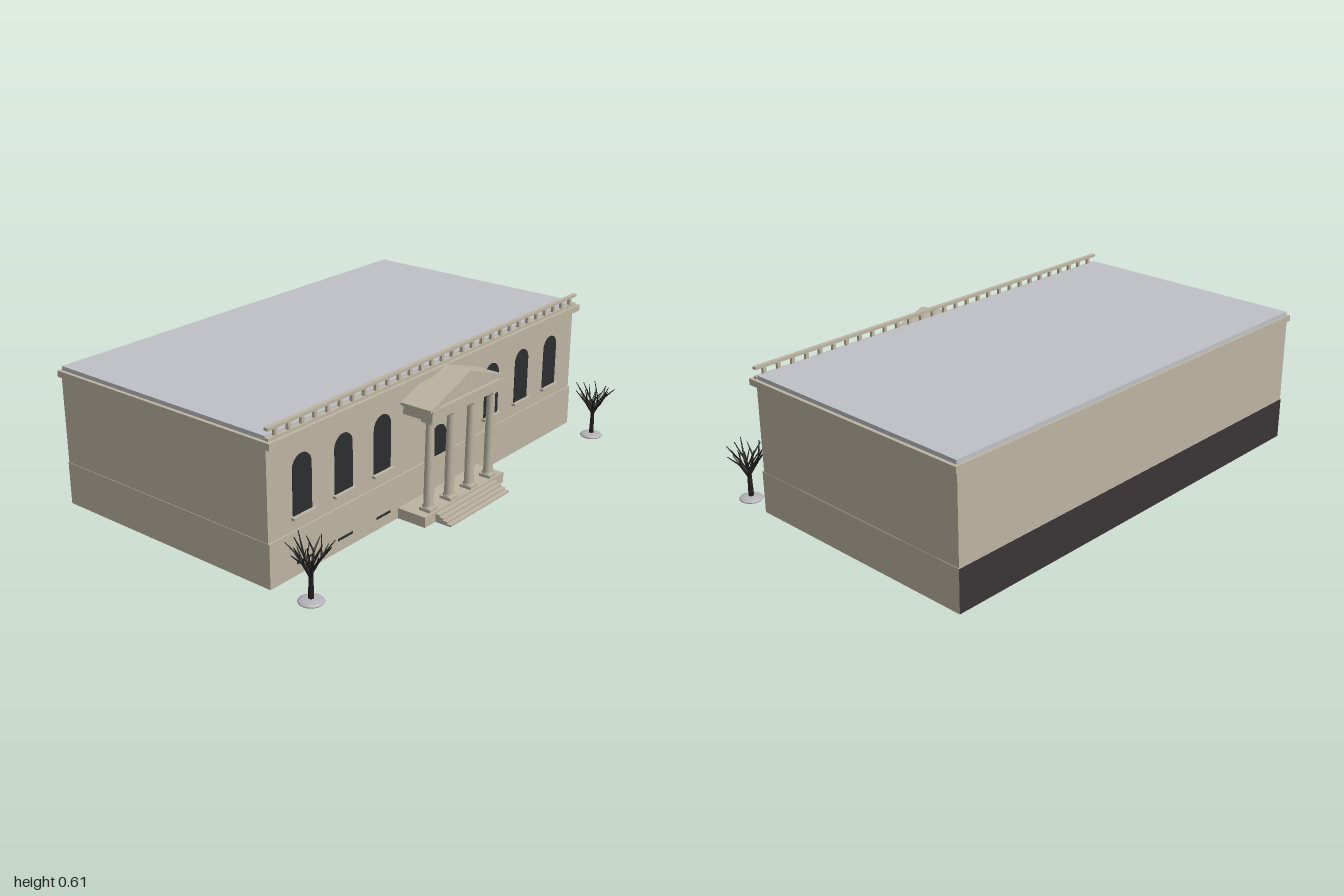
import * as THREE from 'three';

const mat = (name, color, extra = {}) => {
  const m = new THREE.MeshStandardMaterial({ color, ...extra });
  m.name = name;
  return m;
};

export function createModel() {
  const stone = mat('stone', 0xbdb5a2);
  const roofGrey = mat('roofGrey', 0xc0c1c6);
  const glass = mat('darkGlass', 0x2c2d2f);
  const dark = mat('darkBase', 0x3a3536);
  const bark = mat('bark', 0x211f1e);
  const soil = mat('paleSoil', 0xb4b4b8);

  const model = new THREE.Group();
  model.name = 'hall';
  const building = new THREE.Group();
  building.name = 'building';
  building.position.x = -0.005;
  model.add(building);

  const add = (name, geo, material, parent = building) => {
    const m = new THREE.Mesh(geo, material);
    m.name = name;
    parent.add(m);
    return m;
  };
  // Box given by its limits on each axis
  const box = (name, x0, x1, y0, y1, z0, z1, material = stone, parent = building) => {
    const m = add(name, new THREE.BoxGeometry(x1 - x0, y1 - y0, z1 - z0), material, parent);
    m.position.set((x0 + x1) / 2, (y0 + y1) / 2, (z0 + z1) / 2);
    return m;
  };
  // Stone box faces with a dark underside, and optionally a dark back
  const darkUnder = [stone, stone, stone, dark, stone, stone];
  const darkUnderAndBack = [stone, stone, stone, dark, stone, dark];

  // Main block
  box('plinth', -0.952, 0.952, 0.017, 0.188, -0.636, 0.404, darkUnderAndBack);
  box('walls', -0.95, 0.95, 0.188, 0.535, -0.634, 0.397);
  box('cornice', -0.962, 0.962, 0.535, 0.56, -0.641, 0.424);
  box('roof', -0.948, 0.948, 0.56, 0.576, -0.63, 0.392, roofGrey);

  // Balustrade along the front edge
  const balustrade = new THREE.Group();
  balustrade.name = 'balustrade';
  building.add(balustrade);
  box('bottomRail', -0.95, 0.95, 0.56, 0.57, 0.394, 0.41, stone, balustrade);
  box('topRail', -0.952, 0.952, 0.597, 0.608, 0.393, 0.411, stone, balustrade);
  const posts = 29;
  for (let i = 0; i < posts; i++) {
    const x = -0.91 + (1.82 * i) / (posts - 1);
    box('baluster', x - 0.007, x + 0.007, 0.57, 0.597, 0.396, 0.408, stone, balustrade);
  }

  // Arched openings
  const archPlate = (name, x, y0, y1, w, z) => {
    const r = w / 2;
    const s = new THREE.Shape();
    s.moveTo(-r, y0);
    s.lineTo(r, y0);
    s.lineTo(r, y1 - r);
    s.absarc(0, y1 - r, r, 0, Math.PI, false);
    s.closePath();
    const geo = new THREE.ExtrudeGeometry(s, { depth: 0.004, bevelEnabled: false, curveSegments: 16 });
    add(name, geo, glass).position.set(x, 0, z);
  };
  for (const side of [-1, 1]) {
    for (const d of [0.347, 0.563, 0.779]) {
      const x = side * d;
      archPlate('window', x, 0.24, 0.462, 0.097, 0.395);
      box('windowSill', x - 0.058, x + 0.058, 0.232, 0.242, 0.39, 0.413);
      if (side < 0) box('basementVent', x - 0.04, x + 0.04, 0.06, 0.069, 0.401, 0.406, glass);
    }
  }
  archPlate('doorway', 0, 0.188, 0.312, 0.096, 0.395);

  // Portico platform and steps
  const portico = new THREE.Group();
  portico.name = 'portico';
  building.add(portico);
  box('platform', -0.258, 0.258, 0.017, 0.059, 0.4, 0.53, darkUnder, portico);
  for (let i = 0; i < 4; i++) {
    box('step', -0.193, 0.193, 0.017, 0.05 - i * 0.0085, 0.52, 0.548 + i * 0.0175, darkUnder, portico);
  }

  // Columns with square plinths and capitals
  const shaft = new THREE.LatheGeometry(
    [[0.024, 0.07], [0.024, 0.076], [0.019, 0.082], [0.0185, 0.2], [0.0155, 0.402], [0.021, 0.415]]
      .map(([r, y]) => new THREE.Vector2(r, y)), 20);
  for (const x of [-0.195, -0.065, 0.065, 0.195]) {
    const column = new THREE.Group();
    column.name = 'column';
    column.position.set(x, 0, 0.498);
    portico.add(column);
    add('shaft', shaft, stone, column);
    box('columnBase', -0.025, 0.025, 0.059, 0.071, -0.025, 0.025, stone, column);
    box('capital', -0.024, 0.024, 0.414, 0.427, -0.024, 0.024, stone, column);
  }

  // Entablature and gabled pediment
  box('entablature', -0.225, 0.225, 0.426, 0.464, 0.39, 0.53, stone, portico);
  box('pedimentCornice', -0.236, 0.236, 0.462, 0.473, 0.39, 0.54, stone, portico);
  const prism = (name, pts, z0, z1) => {
    const s = new THREE.Shape(pts.map(([x, y]) => new THREE.Vector2(x, y)));
    const geo = new THREE.ExtrudeGeometry(s, { depth: z1 - z0, bevelEnabled: false });
    add(name, geo, stone, portico).position.z = z0;
  };
  prism('tympanum', [[-0.22, 0.473], [0.22, 0.473], [0, 0.55]], 0.39, 0.525);
  prism('gableRoof', [[-0.243, 0.467], [-0.21, 0.467], [0, 0.542], [0.21, 0.467],
    [0.243, 0.467], [0.243, 0.477], [0, 0.563], [-0.243, 0.477]], 0.39, 0.536);

  // Bare trees in round beds
  const up = new THREE.Vector3(0, 1, 0);
  const limb = (parent, name, a, b, r0, r1) => {
    const dir = b.clone().sub(a);
    const m = add(name, new THREE.CylinderGeometry(r1, r0, dir.length(), 6), bark, parent);
    m.position.copy(a).add(b).multiplyScalar(0.5);
    m.quaternion.setFromUnitVectors(up, dir.normalize());
  };
  const polar = (angle, r, y) => new THREE.Vector3(Math.cos(angle) * r, y, Math.sin(angle) * r);
  const makeTree = (x, turn) => {
    const tree = new THREE.Group();
    tree.name = 'tree';
    tree.position.set(x, 0, 0.548);
    tree.rotation.y = turn;
    model.add(tree);
    const bed = add('treeBed', new THREE.SphereGeometry(0.047, 20, 10), soil, tree);
    bed.scale.y = 0.24;
    bed.position.y = 0.0113;
    limb(tree, 'trunk', new THREE.Vector3(0, 0.01, 0), new THREE.Vector3(0, 0.13, 0), 0.011, 0.008);
    for (let i = 0; i < 7; i++) {
      const a = (i / 7) * Math.PI * 2;
      const start = polar(a, 0.003, 0.105 + (i % 3) * 0.01);
      const fork = polar(a, 0.038, 0.165 + (i % 2) * 0.012);
      limb(tree, 'branch', start, fork, 0.006, 0.004);
      limb(tree, 'twig', fork, polar(a + 0.12, 0.085, 0.212 + (i % 3) * 0.012), 0.004, 0.0015);
      limb(tree, 'twig', fork, polar(a - 0.5, 0.06, 0.236 - (i % 2) * 0.012), 0.0035, 0.0015);
      limb(tree, 'twig', start.clone().lerp(fork, 0.6), polar(a + 0.55, 0.055, 0.2), 0.0035, 0.0015);
    }
    limb(tree, 'leader', new THREE.Vector3(0, 0.125, 0), new THREE.Vector3(0.01, 0.21, 0.005), 0.006, 0.0015);
  };
  makeTree(-0.914, Math.PI);
  makeTree(0.914 - 0.006, 0);

  return model;
}
